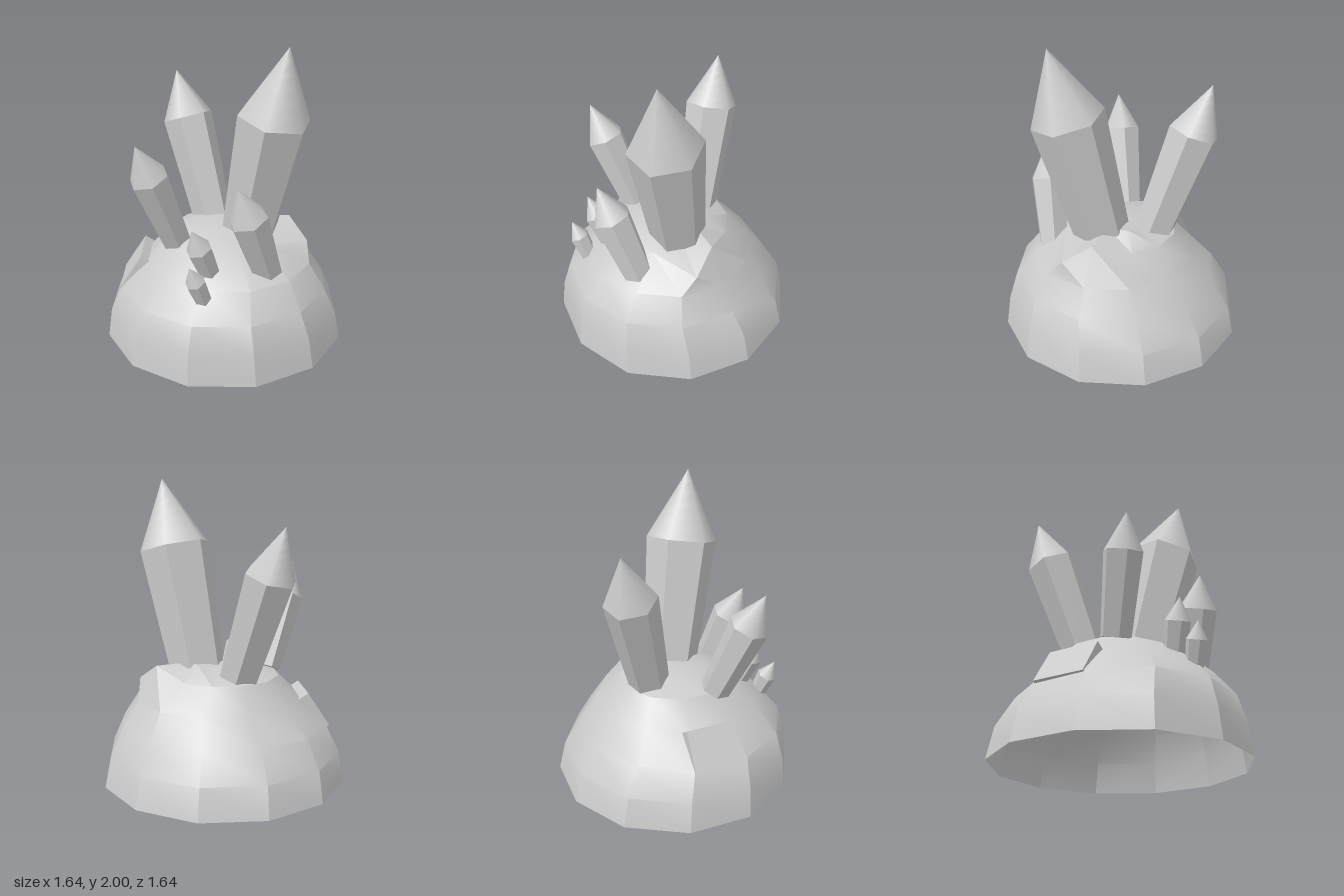
import * as THREE from 'three';
import { toCreasedNormals } from 'three/addons/utils/BufferGeometryUtils.js';

const smooth = new THREE.MeshStandardMaterial({ color: 0xcccccc, side: THREE.DoubleSide });
const faceted = new THREE.MeshStandardMaterial({ color: 0xcccccc, flatShading: true });

// Open twelve-sided dome; each ring is [y, radius, centre x, centre z]
function makeDome() {
  const rings = [
    [0, 0.82, 0, 0], [0.2, 0.785, 0.005, 0.012], [0.38, 0.7, 0.03, 0.035],
    [0.55, 0.56, 0.05, 0.01], [0.71, 0.375, 0, 0], [0.77, 0.2, 0, 0], [0.785, 0, 0, 0],
  ];
  const geo = new THREE.LatheGeometry(rings.map(([y, r]) => new THREE.Vector2(r, y)), 12);
  const pos = geo.attributes.position;
  for (let i = 0; i < pos.count; i++) {
    const [, , dx, dz] = rings[i % rings.length];
    pos.setX(i, pos.getX(i) + dx);
    pos.setZ(i, pos.getZ(i) + dz);
  }
  // Raised ledge behind the tall crystal: [segment, ring, x, y, z]
  const ledge = [[4, 4, 0.45, 0.67, -0.34], [5, 4, 0.26, 0.785, -0.37], [6, 5, 0, 0.805, -0.25], [5, 5, 0.12, 0.8, -0.2]];
  for (const [segment, ring, x, y, z] of ledge) pos.setXYZ(segment * rings.length + ring, x, y, z);
  const dome = new THREE.Mesh(toCreasedNormals(geo, 0.46), smooth);
  dome.name = 'dome';
  return dome;
}

// Tapered hexagonal shaft with a pointed cap, placed by the centre of its shoulder
function makeCrystal({ name, at, yaw, tilt, r, length, cap }) {
  const crystal = new THREE.Group();
  crystal.name = name;
  const shaft = new THREE.Mesh(new THREE.CylinderGeometry(r, r * 0.78, length, 6), faceted);
  shaft.name = 'shaft';
  shaft.position.y = -length / 2;
  const point = new THREE.Mesh(new THREE.ConeGeometry(r, cap, 6, 6, true), smooth);
  point.name = 'point';
  point.position.y = cap / 2;
  crystal.add(shaft, point);
  crystal.position.set(...at);
  crystal.rotation.set(THREE.MathUtils.degToRad(tilt), THREE.MathUtils.degToRad(yaw), 0, 'YXZ');
  return crystal;
}

// Block sunk into the dome, its outer face pointing along dir
function makeBlock(name, face, dir, size) {
  const block = new THREE.Mesh(new THREE.BoxGeometry(...size), faceted);
  block.name = name;
  const out = new THREE.Vector3(...dir).normalize();
  block.position.set(...face).addScaledVector(out, -size[2] / 2);
  block.lookAt(block.position.clone().add(out));
  return block;
}

export function createModel() {
  const model = new THREE.Group();
  model.name = 'crystalCluster';
  model.add(makeDome());

  const crystals = [
    { name: 'tallCrystal', at: [0.352, 1.55, -0.09], yaw: 90, tilt: 14, r: 0.24, length: 0.86, cap: 0.464 },
    { name: 'rightCrystal', at: [-0.46, 1.4, -0.09], yaw: -90, tilt: 20, r: 0.172, length: 0.76, cap: 0.33 },
    { name: 'frontCrystal', at: [-0.105, 1.195, 0.55], yaw: 0, tilt: 23.5, r: 0.13, length: 0.53, cap: 0.245 },
    { name: 'leftCrystal', at: [0.46, 1.0, 0.24], yaw: 0, tilt: 22.5, r: 0.128, length: 0.49, cap: 0.23 },
    { name: 'smallCrystal', at: [0.255, 0.8, 0.46], yaw: 0, tilt: 24, r: 0.084, length: 0.27, cap: 0.15 },
    { name: 'tinyCrystal', at: [0.335, 0.64, 0.565], yaw: 0, tilt: 24, r: 0.066, length: 0.23, cap: 0.12 },
  ];
  for (const c of crystals) model.add(makeCrystal(c));

  // Block standing slightly proud of the dome
  model.add(makeBlock('frontBlock', [-0.425, 0.48, 0.465], [-0.58, 0.55, 0.61], [0.34, 0.27, 0.28]));
  return model;
}
